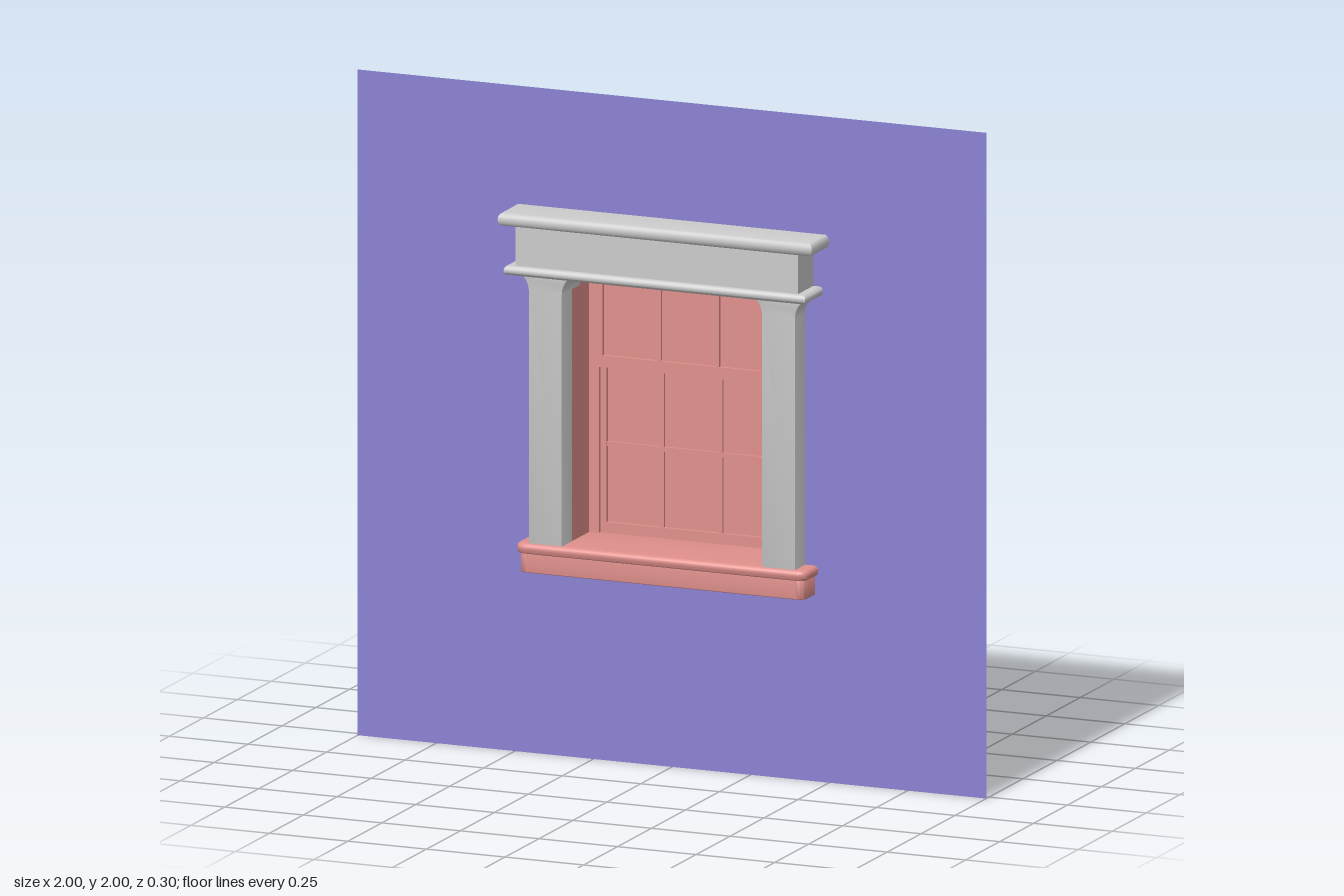
import * as THREE from 'three';
import { toCreasedNormals } from 'three/addons/utils/BufferGeometryUtils.js';

const mat = (color) => new THREE.MeshStandardMaterial({ color, side: THREE.DoubleSide });
const stone = mat(0xcccccc), paint = mat(0xe0908c), blue = mat(0x8a82d2);

function add(parent, name, geometry, material) {
  const mesh = new THREE.Mesh(geometry, material);
  mesh.name = name;
  parent.add(mesh);
  return mesh;
}

// Box given by its limits on each axis
function block(parent, name, [x0, x1], [y0, y1], [z0, z1], material) {
  const m = add(parent, name, new THREE.BoxGeometry(x1 - x0, y1 - y0, z1 - z0), material);
  m.position.set((x0 + x1) / 2, (y0 + y1) / 2, (z0 + z1) / 2);
  return m;
}

// Open-backed moulding: each profile entry is [half width, front z, y]
function moulding(profile, back) {
  const rings = profile.map(([x, z, y]) => [[x, y, back], [x, y, z], [-x, y, z], [-x, y, back]]);
  const pos = [];
  for (let i = 0; i < rings.length - 1; i++)
    for (let j = 0; j < 3; j++) {
      const a = rings[i][j], b = rings[i][j + 1], c = rings[i + 1][j + 1], d = rings[i + 1][j];
      pos.push(...a, ...d, ...b, ...b, ...d, ...c);
    }
  const g = new THREE.BufferGeometry();
  g.setAttribute('position', new THREE.Float32BufferAttribute(pos, 3));
  g.computeVertexNormals();
  return toCreasedNormals(g, 0.7);
}

// Horizontal board with rounded corners and softened edges
function board(hx, z0, z1, y0, y1, r, bevel) {
  const w = hx - bevel, a = -z1 + bevel, b = -z0 - bevel;
  const s = new THREE.Shape();
  s.moveTo(-w + r, a).lineTo(w - r, a).quadraticCurveTo(w, a, w, a + r)
    .lineTo(w, b - r).quadraticCurveTo(w, b, w - r, b)
    .lineTo(-w + r, b).quadraticCurveTo(-w, b, -w, b - r)
    .lineTo(-w, a + r).quadraticCurveTo(-w, a, -w + r, a);
  const g = new THREE.ExtrudeGeometry(s, {
    depth: y1 - y0 - 2 * bevel, bevelEnabled: true, bevelSize: bevel,
    bevelThickness: bevel, bevelSegments: 4, curveSegments: 6,
  });
  g.rotateX(-Math.PI / 2).translate(0, y0 + bevel, 0);
  return toCreasedNormals(g, 0.7);
}

// Sash: stiles, rails, glazing bars and a pane sheet
function sash(name, hx, y0, y1, z0, z1, rows, bottom, top) {
  const g = new THREE.Group();
  g.name = name;
  const zm = (z0 + z1) / 2, stile = 0.02, bar = 0.007;
  for (const s of [-1, 1]) {
    const x = s * (hx - stile / 2);
    block(g, 'stile', [x - stile / 2, x + stile / 2], [y0, y1], [z0, z1], paint);
    block(g, 'verticalBar', [s * 0.093 - bar, s * 0.093 + bar], [y0, y1], [zm - 0.008, zm + 0.008], paint);
  }
  block(g, 'bottomRail', [-hx, hx], [y0, y0 + bottom], [z0, z1], paint);
  block(g, 'topRail', [-hx, hx], [y1 - top, y1], [z0, z1], paint);
  for (let i = 1; i < rows; i++) {
    const y = y0 + bottom + (y1 - top - y0 - bottom) * i / rows;
    block(g, 'horizontalBar', [-hx, hx], [y - bar, y + bar], [zm - 0.008, zm + 0.008], paint);
  }
  add(g, 'glass', new THREE.PlaneGeometry(2 * hx - 0.01, y1 - y0 - 0.01), paint).position.set(0, (y0 + y1) / 2, zm);
  return g;
}

export function createModel() {
  const model = new THREE.Group();
  const wallZ = 0.02, revealBack = -0.106;

  // Wall sheet with the window opening
  const wall = new THREE.Shape([[-1, 0], [1, 0], [1, 2], [-1, 2]].map((p) => new THREE.Vector2(...p)));
  wall.holes.push(new THREE.Path([[-0.322, 0.635], [-0.322, 1.466], [0.322, 1.466], [0.322, 0.635]]
    .map((p) => new THREE.Vector2(...p))));
  add(model, 'wall', new THREE.ShapeGeometry(wall).translate(0, 0, wallZ), blue);

  // Wall reveal and the painted lining inside it
  const depth = wallZ - revealBack, mid = (wallZ + revealBack) / 2;
  for (const [name, hx, top, material] of [['reveal', 0.322, 1.466, blue], ['lining', 0.318, 1.461, paint]]) {
    for (const s of [-1, 1])
      add(model, name + 'Side', new THREE.PlaneGeometry(depth, top - 0.635).rotateY(s * -Math.PI / 2), material)
        .position.set(s * hx, (top + 0.635) / 2, mid);
    add(model, name + 'Top', new THREE.PlaneGeometry(2 * hx, depth).rotateX(Math.PI / 2), material)
      .position.set(0, top, mid);
  }

  // Sill
  add(model, 'sillBase', board(0.455, -0.14, 0.1, 0.56, 0.625, 0.025, 0.003), paint);
  add(model, 'sillSlab', board(0.465, -0.15, 0.11, 0.617, 0.648, 0.025, 0.012), paint);

  // Pilasters, flared sideways at the top
  const c = 0.371;
  const pil = new THREE.Shape();
  pil.moveTo(c - 0.05, 0.645).lineTo(c + 0.05, 0.645).lineTo(c + 0.05, 1.405)
    .quadraticCurveTo(c + 0.052, 1.435, c + 0.07, 1.45).lineTo(c + 0.07, 1.466)
    .lineTo(c - 0.07, 1.466).lineTo(c - 0.07, 1.45).quadraticCurveTo(c - 0.052, 1.435, c - 0.05, 1.405);
  const pilGeo = toCreasedNormals(new THREE.ExtrudeGeometry(pil, {
    depth: 0.129, bevelEnabled: true, bevelSize: 0.003, bevelThickness: 0.003, bevelSegments: 2, curveSegments: 6,
  }).translate(0, 0, -0.037), 0.6);
  add(model, 'leftPilaster', pilGeo, stone);
  add(model, 'rightPilaster', pilGeo, stone).position.x = -2 * c;

  // Header: lower band, frieze and cap, open at the wall
  const header = [[0.44, 0.016, 1.46], [0.47, 0.138, 1.46]];
  const round = (hx, z, y0, y1) => {
    const r = (y1 - y0) / 2;
    for (let i = 0; i <= 6; i++) {
      const a = -Math.PI / 2 + Math.PI * i / 6, k = r * 0.7 * (Math.cos(a) - 1);
      header.push([hx + k, z + k, (y0 + y1) / 2 + r * Math.sin(a)]);
    }
  };
  round(0.48, 0.15, 1.46, 1.488);
  header.push([0.45, 0.132, 1.488], [0.45, 0.132, 1.605]);
  round(0.5, 0.148, 1.605, 1.645);
  header.push([0.49, 0.016, 1.645]);
  add(model, 'header', moulding(header, 0.015), stone);

  // Window frame
  for (const s of [-1, 1]) {
    const x = s * 0.311;
    block(model, 'jamb', [x - 0.024, x + 0.024], [0.645, 1.475], [-0.143, -0.106], paint);
  }
  block(model, 'frameHead', [-0.335, 0.335], [1.455, 1.475], [-0.118, -0.103], paint);

  // Sliding sashes, the lower one on the inner track
  model.add(sash('upperSash', 0.29, 1.15, 1.455, -0.115, -0.094, 1, 0.035, 0.016));
  model.add(sash('lowerSash', 0.287, 0.648, 1.185, -0.138, -0.116, 2, 0.032, 0.035));
  return model;
}
